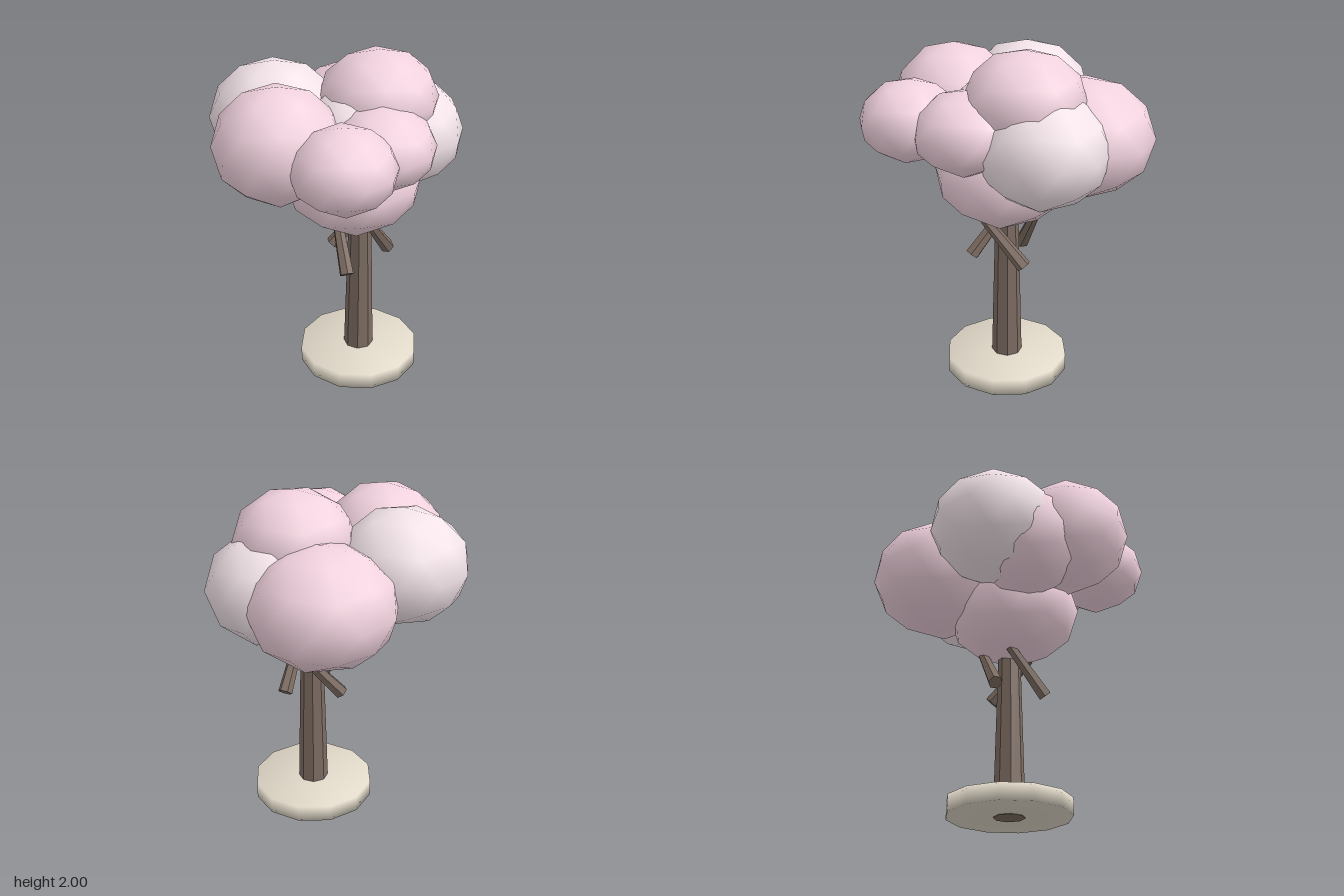
import * as THREE from 'three';
import { mergeVertices } from 'three/addons/utils/BufferGeometryUtils.js';

const material = (color, flatShading = false) => new THREE.MeshStandardMaterial({ color, flatShading });

export function createModel() {
  const model = new THREE.Group();
  const bark = material(0x7d6c62, true);
  const pink = material(0xf2d3df);
  const pale = material(0xf3e4e9);

  const add = (parent, name, geometry, mat) => {
    const mesh = new THREE.Mesh(geometry, mat);
    mesh.name = name;
    parent.add(mesh);
    return mesh;
  };

  // Round base, smooth-shaded across its rim
  const disc = new THREE.CylinderGeometry(0.365, 0.365, 0.1, 12);
  disc.deleteAttribute('normal');
  disc.deleteAttribute('uv');
  const baseGeometry = mergeVertices(disc);
  baseGeometry.computeVertexNormals();
  add(model, 'base', baseGeometry, material(0xe0d8c8)).position.set(0.1, 0.053, -0.1);

  // Tapered trunk, its foot flush with the underside of the base
  add(model, 'trunk', new THREE.CylinderGeometry(0.067, 0.093, 1.0, 8), bark).position.set(0.1, 0.5, -0.1);

  // Branches: lower end, upper end
  const branches = new THREE.Group();
  branches.name = 'branches';
  model.add(branches);
  const up = new THREE.Vector3(0, 1, 0);
  [
    [[0.2, 0.72, 0.09], [-0.01, 1.0, -0.01]],
    [[-0.09, 0.75, -0.05], [0.02, 1.01, -0.24]],
    [[0.15, 0.75, -0.28], [0.24, 1.01, -0.06]],
  ].forEach(([a, b]) => {
    const low = new THREE.Vector3(...a), high = new THREE.Vector3(...b);
    const dir = high.clone().sub(low);
    const branch = add(branches, 'branch', new THREE.CylinderGeometry(0.03, 0.043, dir.length(), 6), bark);
    branch.position.copy(low).add(high).multiplyScalar(0.5);
    branch.quaternion.setFromUnitVectors(up, dir.normalize());
  });

  // Crown: flattened icospheres standing on a vertex
  const crown = new THREE.Group();
  crown.name = 'crown';
  model.add(crown);
  const puff = new THREE.IcosahedronGeometry(1, 1);
  puff.rotateZ(-Math.atan(2 / (1 + Math.sqrt(5))));
  // name, centre, horizontal radius, vertical radius, material
  [
    ['topFoliage', [0.1, 1.72, -0.23], 0.343, 0.28, pink],
    ['frontFoliage', [0, 1.585, 0.415], 0.36, 0.33, pink],
    ['rightFoliage', [-0.355, 1.575, 0.16], 0.378, 0.33, pale],
    ['backRightFoliage', [-0.24, 1.46, -0.36], 0.42, 0.345, pink],
    ['backLeftFoliage', [0.12, 1.48, -0.39], 0.37, 0.325, pale],
    ['leftFoliage', [0.34, 1.555, -0.03], 0.307, 0.235, pink],
    ['frontLeftFoliage', [0.435, 1.567, 0.325], 0.29, 0.235, pink],
    ['lowerFoliage', [0.08, 1.27, -0.06], 0.4, 0.325, pink],
    ['lowerFrontFoliage', [-0.21, 1.5, 0.285], 0.325, 0.31, pink],
    ['innerFoliage', [0.12, 1.52, -0.05], 0.33, 0.3, pale],
  ].forEach(([name, centre, r, h, mat]) => {
    const mesh = add(crown, name, puff, mat);
    mesh.position.set(...centre);
    mesh.scale.set(r, h, r);
  });

  return model;
}
